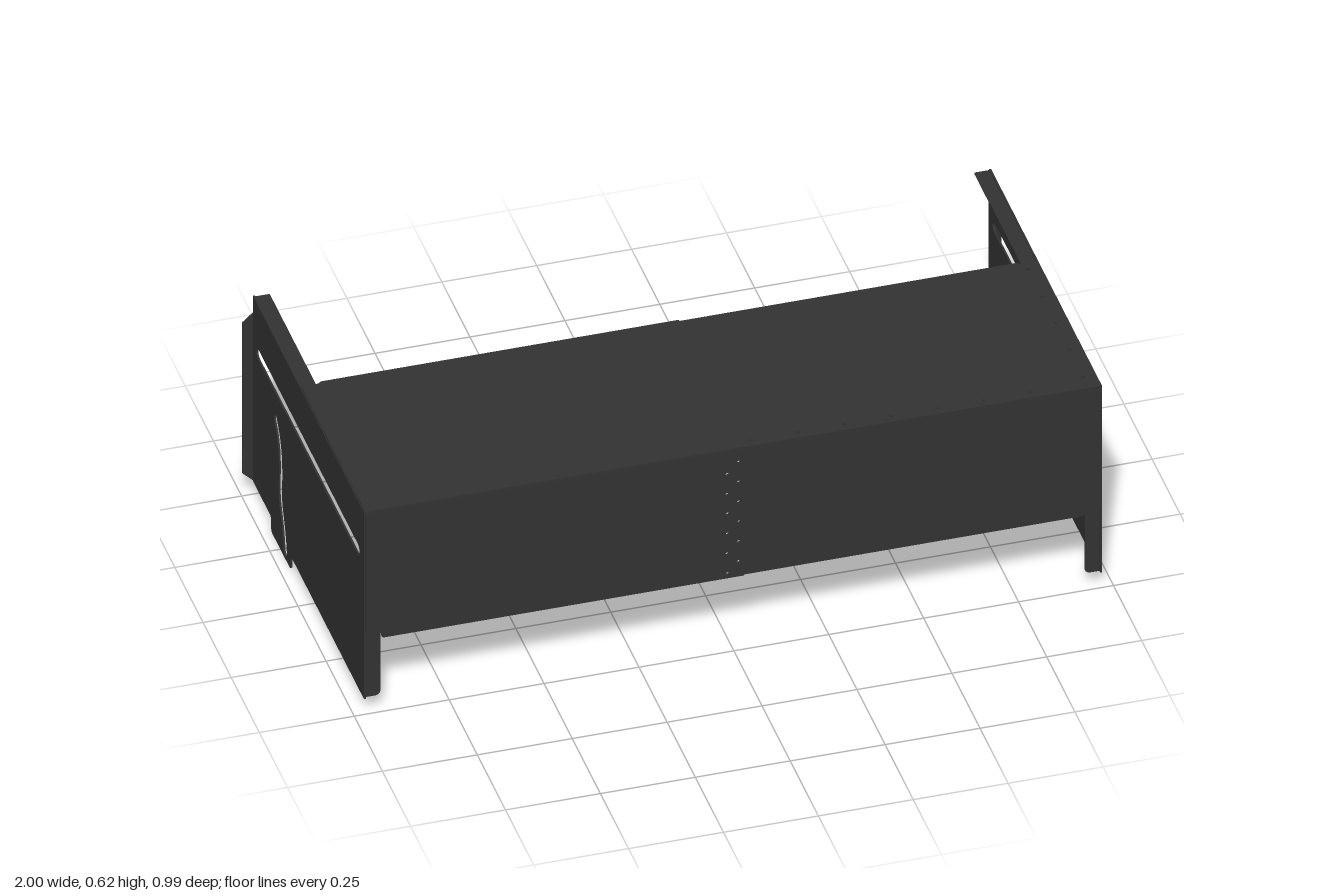
import * as THREE from 'three';

const steel = new THREE.MeshStandardMaterial({ color: 0x333333 });
const T = 0.004; // sheet thickness

// Closed outline from [x, y, cornerRadius] points
function outline(points, Path = THREE.Shape) {
  const path = new Path();
  const v = points.map(([x, y]) => new THREE.Vector2(x, y));
  v.forEach((p, i) => {
    const r = points[i][2] || 0;
    const before = v[(i + v.length - 1) % v.length].clone().sub(p).setLength(r).add(p);
    const after = v[(i + 1) % v.length].clone().sub(p).setLength(r).add(p);
    if (i === 0) path.moveTo(before.x, before.y);
    else path.lineTo(before.x, before.y);
    if (r) path.quadraticCurveTo(p.x, p.y, after.x, after.y);
  });
  path.closePath();
  return path;
}

const rect = (x0, y0, x1, y1) => [[x0, y0], [x1, y0], [x1, y1], [x0, y1]];

const roundHole = ([x, y]) => new THREE.Path().absarc(x, y, 0.005, 0, Math.PI * 2, true);

// Round-ended slot of half width r along a list of centre points
function slot(points, r) {
  const curve = new THREE.CatmullRomCurve3(points.map(([x, y]) => new THREE.Vector3(x, y, 0)));
  const n = points.length > 2 ? 24 : 1;
  const left = [], right = [], cap = [[], []];
  for (let i = 0; i <= n; i++) {
    const p = curve.getPointAt(i / n), t = curve.getTangentAt(i / n);
    left.push([p.x - t.y * r, p.y + t.x * r]);
    right.unshift([p.x + t.y * r, p.y - t.x * r]);
    if (i === 0 || i === n) {
      const start = Math.atan2(t.y, t.x) + (i === 0 ? -Math.PI / 2 : Math.PI / 2);
      for (let k = 1; k < 8; k++) {
        const a = start - (k * Math.PI) / 8;
        cap[i === 0 ? 0 : 1].push([p.x + r * Math.cos(a), p.y + r * Math.sin(a)]);
      }
    }
  }
  return outline([...left, ...cap[1], ...right, ...cap[0]], THREE.Path);
}

// Flat sheet facing 'front' (x, y), 'side' (-z, y) or 'top' (x, -z); at = its lower coordinate
function sheet(name, facing, at, points, holes = [], thick = T) {
  const shape = outline(points);
  shape.holes = holes;
  const geo = new THREE.ExtrudeGeometry(shape, { depth: thick, bevelEnabled: false, curveSegments: 8 });
  geo.translate(0, 0, at);
  if (facing === 'side') geo.rotateY(Math.PI / 2);
  if (facing === 'top') geo.rotateX(-Math.PI / 2);
  const mesh = new THREE.Mesh(geo, steel);
  mesh.name = name;
  return mesh;
}

// End panel with its bent flanges, s = 1 for left, -1 for right
function endPanel(s) {
  const g = new THREE.Group();
  g.name = s > 0 ? 'leftEndPanel' : 'rightEndPanel';
  const holes = [
    slot([[-0.437, 0.47], [0.446, 0.47]], 0.016),
    slot([[0.293, 0.373], [0.268, 0.34], [0.252, 0.295], [0.248, 0.25], [0.248, 0.155],
      [0.225, 0.095], [0.213, 0.055], [0.207, 0.024]], 0.015),
  ];
  const thick = 0.005;
  g.add(sheet('endPlate', 'side', s > 0 ? 0.967 : -0.972, [
    [-0.493, 0.042], [0.158, 0.042, 0.012], [0.158, 0, 0.012], [0.332, 0, 0.012],
    [0.332, 0.045, 0.012], [0.493, 0.045], [0.493, 0.62], [-0.493, 0.62],
  ], holes, thick));

  // Front leg flange, top flange and outward rear flange
  const mirror = (pts) => pts.map(([x, y, r]) => [x * s, y, r]);
  g.add(sheet('frontLeg', 'front', 0.485, mirror([
    [0.928, 0.045, 0.015], [0.968, 0.045], [0.968, 0.612], [0.928, 0.612]])));
  const flangeHoles = s > 0 ? sideHoles.map(roundHole) : [];
  g.add(sheet('topFlange', 'top', 0.613, mirror(rect(0.928, -0.488, 0.968, 0.493)), flangeHoles));
  g.add(sheet('rearFlange', 'front', -0.497, mirror([
    [0.967, 0.048], [0.972, 0.048], [1, 0.075], [1, 0.54], [0.972, 0.565], [0.967, 0.565]])));
  return g;
}

// Fastener positions
const sideHoles = [0.445, 0.32, 0.2, 0.08, -0.045].map((z) => [0.937, -z]);
const edgeHoles = Array.from({ length: 15 }, (_, i) => [-0.925 + i * 0.1225, -0.47]);
const seamHoles = [];
for (let i = 0; i < 6; i++) {
  seamHoles.push([-0.016, 0.24 + i * 0.0615], [0.014, 0.272 + i * 0.0615]);
}

export function createModel() {
  const model = new THREE.Group();
  model.name = 'sheetMetalHousing';
  model.add(endPanel(1), endPanel(-1));

  // Front and top are each two halves that overlap at the middle
  for (const s of [1, -1]) {
    const side = s > 0 ? 'left' : 'right';
    const lap = -0.027 * s;
    const step = s > 0 ? 0 : T;
    const within = ([x]) => (s > 0 ? x > lap + 0.006 : x < lap - 0.006);

    model.add(sheet(side + 'FrontPanel', 'front', 0.489 + step, [
      [lap, 0.226], [s * 0.928, 0.226, 0.01], [s * 0.928, 0.245, 0.008], [s * 0.968, 0.245],
      [s * 0.968, 0.612], [s * 0.96, 0.62], [lap, 0.62],
    ], seamHoles.map(roundHole)));

    const topHoles = edgeHoles.filter(within);
    if (s > 0) topHoles.push(...sideHoles);
    model.add(sheet(side + 'TopPanel', 'top', 0.617 + step, [
      [lap, -0.493 - step], [s * 0.97, -0.493 - step], [s * 0.97, 0.073],
      [s * 0.925, 0.073], [s * 0.915, 0.08], [lap, 0.08],
    ], topHoles.map(roundHole)));

    // Folded lip along the rear edge of the top
    model.add(sheet(side + 'RearLip', 'front', -0.08, [
      [s * 0.02, 0.565], [s * 0.9, 0.565], [s * 0.92, 0.585], [s * 0.92, 0.617], [s * 0.02, 0.617],
    ], [[s * 0.05, 0.59], [s * 0.1, 0.59]].map(roundHole)));
  }

  // Strip bridging the two rear lips
  model.add(sheet('rearLipSplice', 'front', -0.076, rect(-0.12, 0.57, 0.12, 0.613)));

  // Inward flange that carries the front edge of the top
  model.add(sheet('frontTopFlange', 'top', 0.613, rect(-0.928, -0.489, 0.928, -0.45),
    edgeHoles.filter(([x]) => Math.abs(x) < 0.92).map(roundHole)));
  return model;
}
